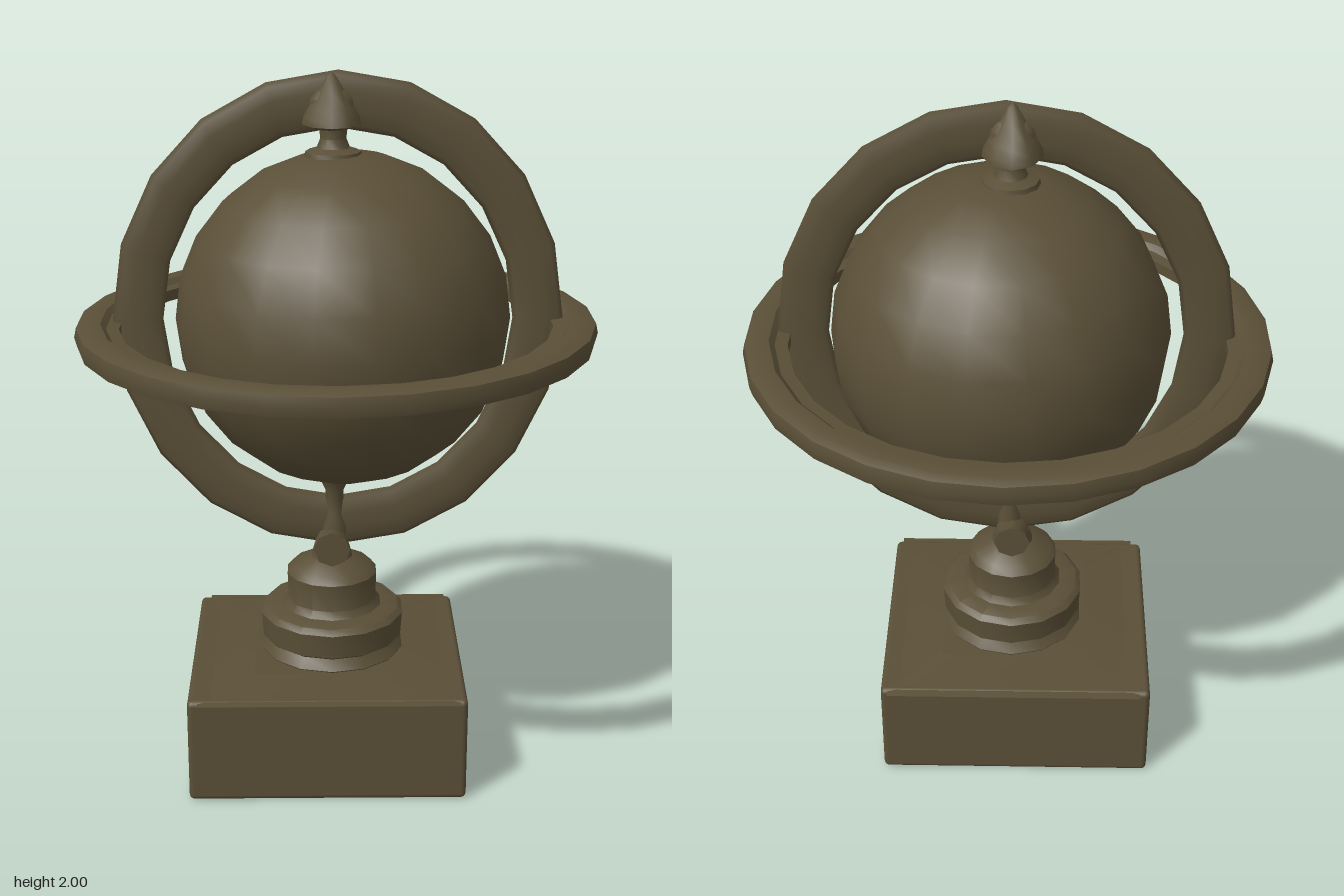
import * as THREE from 'three';
import { toCreasedNormals } from 'three/addons/utils/BufferGeometryUtils.js';
import { RoundedBoxGeometry } from 'three/addons/geometries/RoundedBoxGeometry.js';

export function createModel() {
  const group = new THREE.Group();
  const bronze = new THREE.MeshStandardMaterial({ color: 0x5a4f37 });
  bronze.name = 'darkBronze';

  const axisX = -0.02; // the stand sits slightly off the ring centre

  function add(name, geometry, x = 0, y = 0, z = 0) {
    const mesh = new THREE.Mesh(geometry, bronze);
    mesh.name = name;
    mesh.position.set(x, y, z);
    group.add(mesh);
    return mesh;
  }

  // Turned part from [radius, height] pairs, listed bottom to top
  function turned(points, sides, crease = 0.7) {
    const profile = points.map(([r, y]) => new THREE.Vector2(r, y));
    return toCreasedNormals(new THREE.LatheGeometry(profile, sides), crease);
  }

  // Square plinth with a shallow raised top
  add('plinth', new RoundedBoxGeometry(0.785, 0.31, 0.705, 2, 0.015), -0.035, 0.155, 0);
  const slope = new THREE.CylinderGeometry(0.3, 0.52, 0.022, 4);
  slope.rotateY(Math.PI / 4);
  add('plinthTop', slope, -0.03, 0.316, 0);

  // Stepped pedestal
  add('pedestal', turned([
    [0, 0.3], [0.2, 0.31], [0.21, 0.33], [0.19, 0.36], [0.205, 0.37], [0.21, 0.44],
    [0.195, 0.455], [0.145, 0.46], [0.13, 0.48], [0.132, 0.56], [0.115, 0.58],
    [0.06, 0.605], [0.05, 0.64], [0, 0.64],
  ], 14), axisX);

  // Clamp gripping the foot of the upright ring
  const clamp = new THREE.CylinderGeometry(0.052, 0.052, 0.18, 8, 3);
  clamp.rotateX(Math.PI / 2);
  const p = clamp.attributes.position;
  for (let i = 0; i < p.count; i++) {
    // pinch the middle of the clamp
    if (Math.abs(p.getZ(i)) < 0.05) p.setXY(i, p.getX(i) * 0.9, p.getY(i) * 0.75);
  }
  clamp.computeVertexNormals();
  add('ringClamp', toCreasedNormals(clamp, 0.9), axisX, 0.657, 0);

  // Lower spindle flaring out under the globe
  add('lowerSpindle', turned([
    [0.035, 0.65], [0.038, 0.7], [0.026, 0.74], [0.027, 0.81], [0.045, 0.85], [0.06, 0.88],
  ], 10, 1), -0.012);

  // Globe
  add('globe', new THREE.SphereGeometry(0.465, 18, 12), 0.012, 1.32, 0);

  // Upright meridian ring, a flattened oval band
  const upright = new THREE.TorusGeometry(0.555, 0.07, 10, 20);
  upright.scale(1, 1.09, 0.25);
  add('uprightRing', upright, -0.002, 1.32, 0);

  // Horizontal horizon ring with a thinner inner lip
  const horizon = add('horizonRing', turned([
    [0.6, 1.28], [0.635, 1.278], [0.648, 1.264], [0.69, 1.26], [0.715, 1.268],
    [0.722, 1.295], [0.716, 1.322], [0.69, 1.333], [0.65, 1.33], [0.635, 1.315],
    [0.6, 1.312], [0.6, 1.28],
  ], 26));
  // slight tilt up to its left side
  horizon.rotation.z = 0.006;

  // Collar and neck on top of the globe
  add('topCollar', turned([
    [0, 1.75], [0.08, 1.765], [0.075, 1.785], [0.045, 1.795], [0.035, 1.82],
    [0.04, 1.86], [0, 1.87],
  ], 12), axisX + 0.005);

  // Finial saddling the crown of the upright ring
  const finial = turned([
    [0, 1.85], [0.07, 1.85], [0.115, 1.862], [0.11, 1.88], [0.09, 1.905],
    [0.05, 1.95], [0.022, 1.985], [0, 1.998],
  ], 10);
  finial.scale(0.72, 1, 1);
  add('finial', finial, axisX);

  // Rounded knob running through the finial
  const knob = new THREE.SphereGeometry(0.06, 10, 8);
  knob.scale(1.1, 0.9, 1);
  add('finialKnob', knob, axisX, 1.908, 0);

  return group;
}
